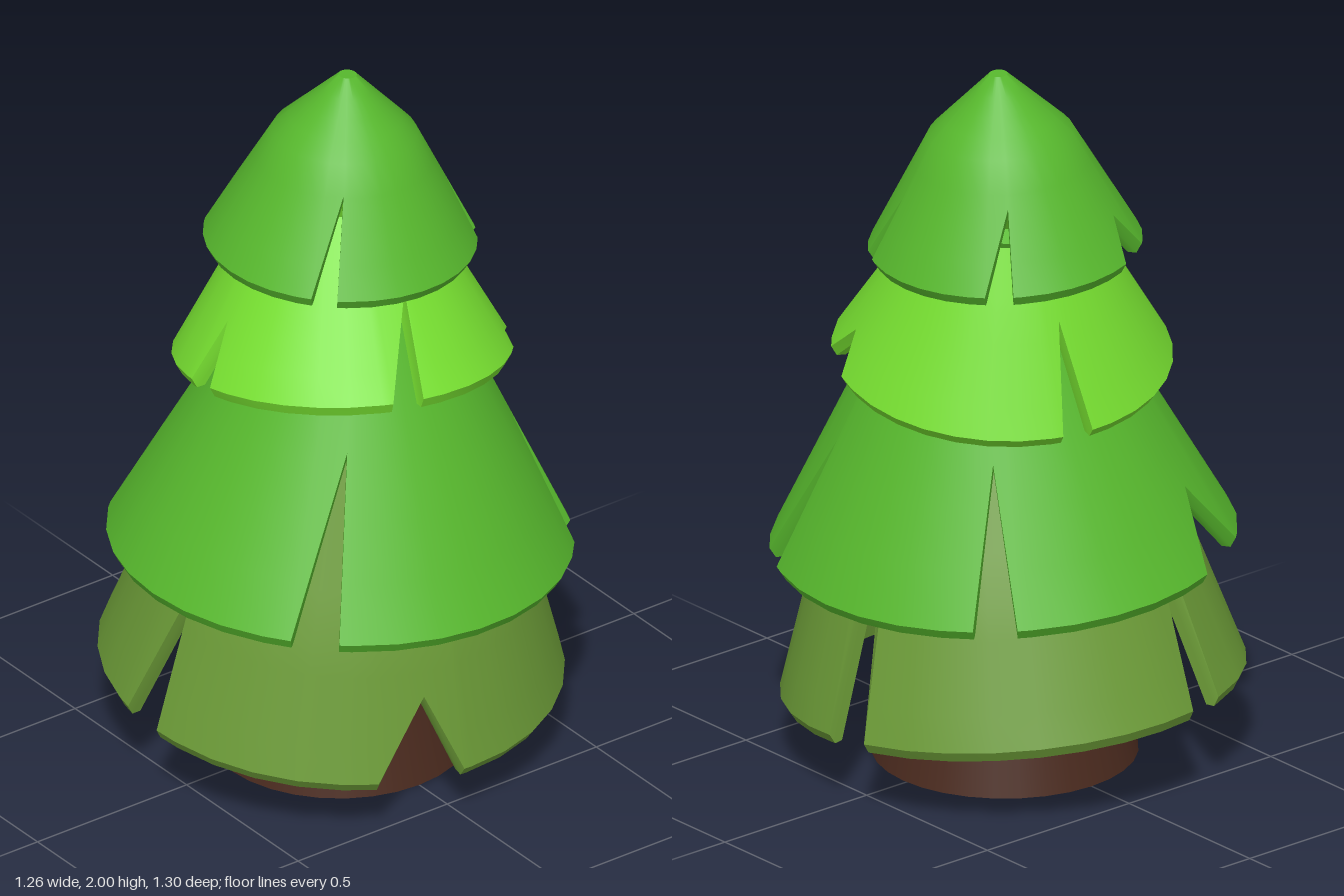
import * as THREE from 'three';
import { toCreasedNormals } from 'three/addons/utils/BufferGeometryUtils.js';

const SIDES = 32, THICK = 0.04, LIP = 0.028;
const { lerp, clamp, degToRad } = THREE.MathUtils;

// radius of a profile ([radius, height] pairs, top to bottom) at height y
function radiusAt(profile, y) {
  for (let i = 0; i < profile.length - 1; i++) {
    const [r0, y0] = profile[i], [r1, y1] = profile[i + 1];
    if (y0 > y1 && y <= y0 && y >= y1) return lerp(r1, r0, (y - y1) / (y0 - y1));
  }
  return profile[profile.length - 1][0];
}

// Conical shell with V notches in its skirt.
// notch: [start angle, apex angle, end angle, apex height], angles in degrees from +z towards +x
function skirtGeometry(profile, notches) {
  const columns = [];
  for (let i = 0; i < SIDES; i++) {
    const a = -180 + (i * 360) / SIDES;
    const inNotch = notches.some(([s, p, e]) => a > Math.min(s, p) - 2 && a < Math.max(e, p) + 2);
    if (!inNotch) columns.push({ key: a, bottom: 0, angle: () => a });
  }
  for (const [s, p, e, h] of notches) {
    const below = (y) => clamp((h - y) / h, 0, 1);
    const left = Math.min(s, p - 0.5), right = Math.max(e, p + 0.5);
    columns.push(
      { key: left, bottom: 0, angle: (y) => lerp(left, s, below(y)) },
      { key: p, bottom: h, angle: () => p },
      { key: right, bottom: 0, angle: (y) => lerp(right, e, below(y)) });
  }
  columns.sort((a, b) => a.key - b.key);

  // heights of the rows down the slope
  const rows = [];
  for (let i = 0; i < profile.length - 1; i++) {
    const y0 = profile[i][1], y1 = profile[i + 1][1];
    if (y0 > y1) for (let k = 0; k < 4; k++) rows.push(lerp(y0, y1, k / 4));
  }
  rows.push(0);

  // closed cross-section: down the outside, round the rim, up the inside
  const rings = columns.map(({ bottom, angle }) => {
    const point = (y, inset, drop) => {
      const r = Math.max(0, radiusAt(profile, y) - inset), a = degToRad(angle(y));
      return new THREE.Vector3(r * Math.sin(a), y - drop, r * Math.cos(a));
    };
    const ys = rows.map((y) => Math.max(y, bottom));
    const outer = ys.map((y) => point(y, 0, 0));
    const rim = point(bottom, THICK * 0.4, LIP);
    const inner = ys.map((y) => point(y, THICK, LIP * 0.9)).reverse();
    const ring = [...outer, rim, ...inner];
    if (profile[0][0] === 0) ring.unshift(new THREE.Vector3(0, profile[0][1], 0));
    return ring;
  });

  const positions = [];
  const triangle = (a, b, c) => {
    if (new THREE.Triangle(a, b, c).getArea() < 1e-7) return;
    for (const v of [a, b, c]) positions.push(v.x, v.y, v.z);
  };
  rings.forEach((ring, i) => {
    const next = rings[(i + 1) % rings.length];
    for (let j = 0; j < ring.length; j++) {
      const k = (j + 1) % ring.length;
      triangle(ring[j], ring[k], next[k]);
      triangle(ring[j], next[k], next[j]);
    }
  });
  const geometry = new THREE.BufferGeometry();
  geometry.setAttribute('position', new THREE.Float32BufferAttribute(positions, 3));
  return toCreasedNormals(geometry, 0.6);
}

const TIERS = [
  {
    name: 'topBranches', color: 0x57b82d, at: [0.045, 1.505, -0.04], tilt: [0, -0.05],
    profile: [[0, 0.495], [0.025, 0.495], [0.195, 0.325], [0.37, 0]],
    notches: [[-159, -149, -138, 0.11], [-49, -37, -38, 0.25], [55, 65, 64, 0.17], [131, 143, 143, 0.21]],
  },
  {
    name: 'upperBranches', color: 0x76de30, at: [0.03, 1.175, -0.01], tilt: [-0.15, -0.087],
    profile: [[0.2, 0.45], [0.29, 0.3], [0.46, 0]],
    notches: [[-98, -92, -87, 0.16], [-19, -3, -8, 0.26], [51, 61, 70, 0.1], [161, 168, 172, 0.27]],
  },
  {
    name: 'middleBranches', color: 0x57b82d, at: [0, 0.62, 0.02], tilt: [0, -0.055],
    profile: [[0.22, 0.8], [0.33, 0.58], [0.63, 0]],
    notches: [[-160, -150, -138, 0.2], [-49, -37, -37, 0.46], [53, 65, 64, 0.35], [132, 138, 143, 0.4]],
  },
  {
    name: 'lowerBranches', color: 0x6b9a37, at: [0, 0.225, -0.02], tilt: [0.09, -0.02],
    profile: [[0.29, 0.88], [0.51, 0.38], [0.63, 0]],
    notches: [[-170, -159, -159, 0.5], [-97, -89, -85, 0.4], [-25, -12, -2, 0.22], [88, 89, 100, 0.75]],
  },
];

export function createModel() {
  const tree = new THREE.Group();
  tree.name = 'firTree';

  // tapered trunk
  const trunk = new THREE.Mesh(
    new THREE.CylinderGeometry(0.12, 0.36, 0.95, SIDES),
    new THREE.MeshStandardMaterial({ color: 0x4a2a1e }));
  trunk.name = 'trunk';
  trunk.position.set(0, 0.475, 0.015);
  tree.add(trunk);

  // four tilted, notched skirts of branches
  for (const { name, color, at, tilt, profile, notches } of TIERS) {
    const skirt = new THREE.Mesh(
      skirtGeometry(profile, notches), new THREE.MeshStandardMaterial({ color }));
    skirt.name = name;
    skirt.position.set(...at);
    skirt.rotation.set(tilt[0], 0, tilt[1]);
    tree.add(skirt);
  }
  return tree;
}
